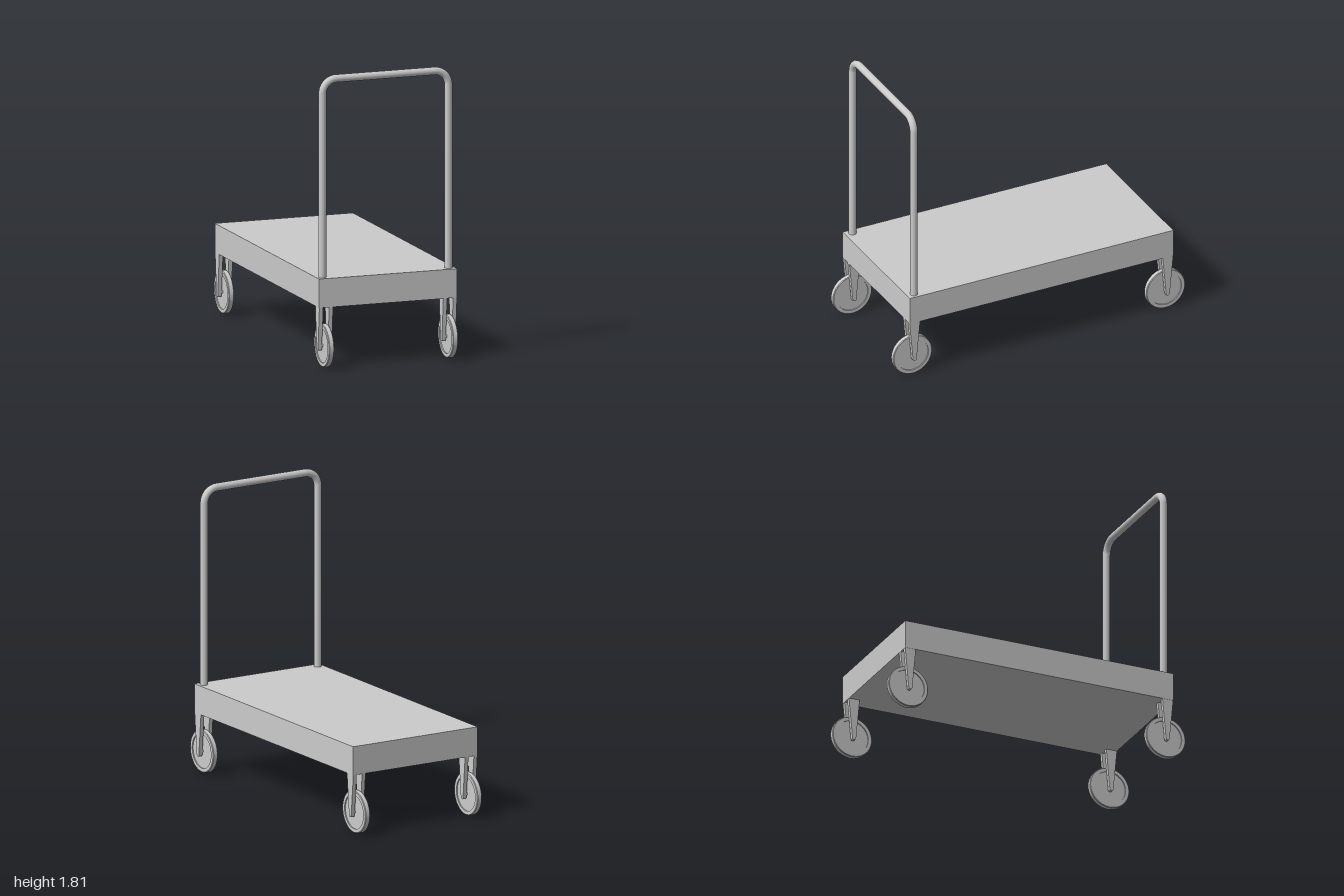
import * as THREE from 'three';
import { toCreasedNormals } from 'three/addons/utils/BufferGeometryUtils.js';

const material = new THREE.MeshStandardMaterial({ color: 0xcccccc });

function addMesh(parent, geometry, name, x = 0, y = 0, z = 0) {
  const mesh = new THREE.Mesh(geometry, material);
  mesh.name = name;
  mesh.position.set(x, y, z);
  parent.add(mesh);
  return mesh;
}

// Push handle: one bent tube, standing on the deck
function handleGeometry() {
  const x = 0.411, base = 0.5, top = 1.787, bend = 0.08;
  const v = (px, py) => new THREE.Vector3(px, py, 0);
  const path = new THREE.CurvePath();
  path.add(new THREE.LineCurve3(v(-x, base), v(-x, top - bend)));
  path.add(new THREE.QuadraticBezierCurve3(v(-x, top - bend), v(-x + 0.012, top - 0.012), v(-x + bend, top)));
  path.add(new THREE.LineCurve3(v(-x + bend, top), v(x - bend, top)));
  path.add(new THREE.QuadraticBezierCurve3(v(x - bend, top), v(x - 0.012, top - 0.012), v(x, top - bend)));
  path.add(new THREE.LineCurve3(v(x, top - bend), v(x, base)));
  return new THREE.TubeGeometry(path, 160, 0.024, 20);
}

// Wheel: a rim with a shallow recess on both faces, axle along x
function wheelGeometry() {
  const r = 0.133, inner = 0.107, w = 0.017, web = 0.01;
  const profile = [
    [0, -web], [inner, -web], [inner, -w], [r - 0.004, -w], [r, -w + 0.004],
    [r, w - 0.004], [r - 0.004, w], [inner, w], [inner, web], [0, web],
  ].map(([a, b]) => new THREE.Vector2(a, b));
  const geometry = new THREE.LatheGeometry(profile, 48).rotateZ(Math.PI / 2);
  return toCreasedNormals(geometry, 0.6);
}

// Fork plate: tapers from the deck down past the axle, extruded along x
function forkGeometry(thickness) {
  const shape = new THREE.Shape();
  shape.moveTo(-0.036, 0.245);
  shape.lineTo(-0.032, 0.2);
  shape.lineTo(-0.012, -0.02);
  shape.quadraticCurveTo(-0.01, -0.03, 0, -0.03);
  shape.quadraticCurveTo(0.01, -0.03, 0.012, -0.02);
  shape.lineTo(0.032, 0.2);
  shape.lineTo(0.036, 0.245);
  const geometry = new THREE.ExtrudeGeometry(shape, { depth: thickness, bevelEnabled: false, curveSegments: 6 });
  return geometry.translate(0, 0, -thickness / 2).rotateY(Math.PI / 2);
}

export function createModel() {
  const model = new THREE.Group();
  model.name = 'platformTrolley';

  addMesh(model, new THREE.BoxGeometry(0.9, 0.18, 1.806), 'deck', 0, 0.465, 0);
  addMesh(model, handleGeometry(), 'handle', 0, 0, 0.855);

  // Four casters at the deck corners
  const wheel = wheelGeometry();
  const fork = forkGeometry(0.025);
  const axle = new THREE.CylinderGeometry(0.01, 0.01, 0.05, 16).rotateZ(Math.PI / 2);
  for (const sx of [-1, 1]) {
    for (const sz of [-1, 1]) {
      const caster = new THREE.Group();
      caster.name = `${sz > 0 ? 'front' : 'back'}${sx > 0 ? 'Left' : 'Right'}Caster`;
      caster.position.set(sx * 0.404, 0.133, sz * 0.867);
      addMesh(caster, wheel, 'wheel');
      addMesh(caster, axle, 'axle');
      for (const side of [-1, 1]) {
        addMesh(caster, fork, 'forkPlate', side * 0.032);
      }
      model.add(caster);
    }
  }
  return model;
}
